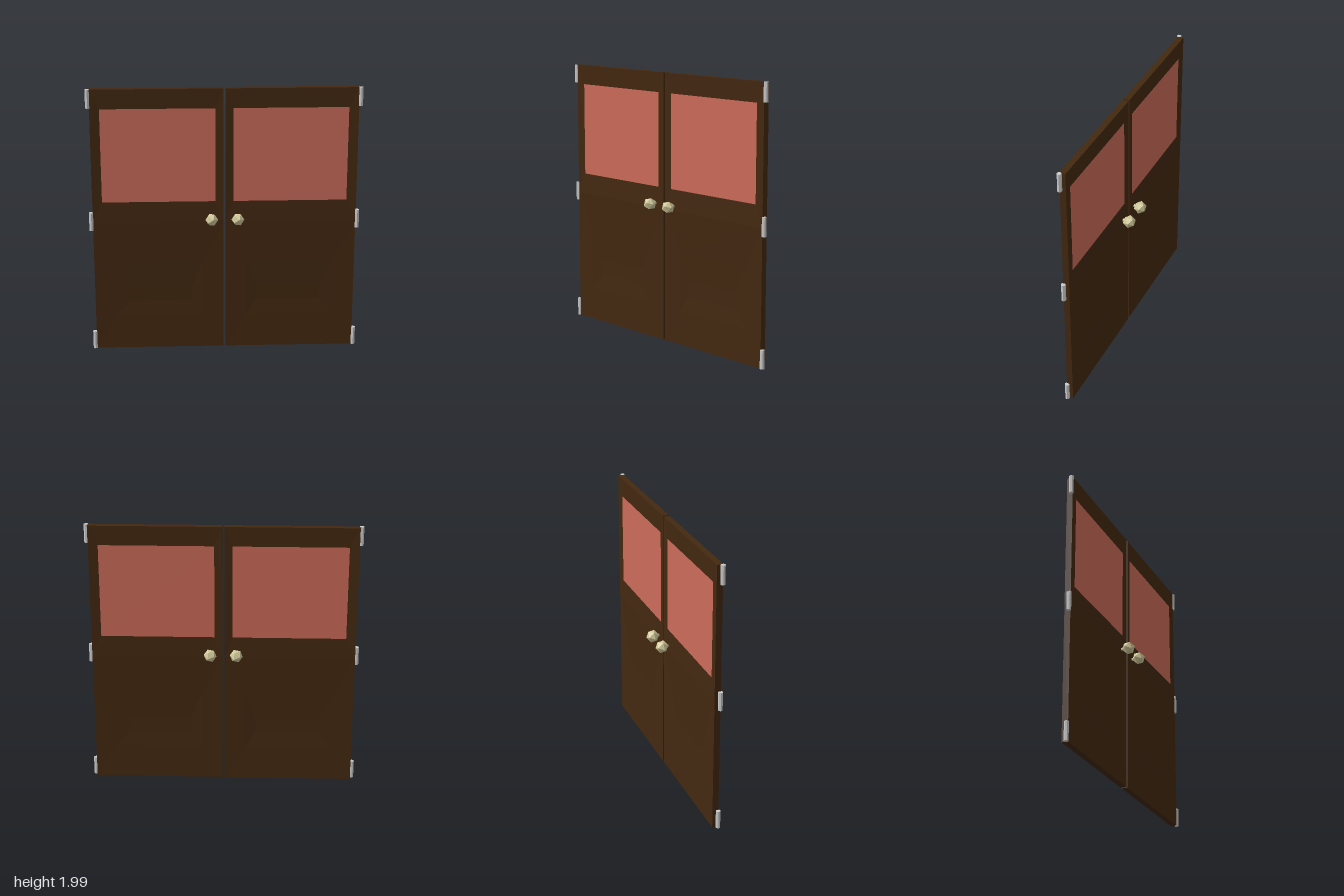
import * as THREE from 'three';

const mat = (color, extra = {}) => new THREE.MeshStandardMaterial({ color, flatShading: true, ...extra });
const wood = mat(0x432810);
const pane = mat(0xcc6b59);
const brass = mat(0xd3cb9c);
const metal = mat(0xcccccc);

const BACK = -0.025, FRONT = 0.02, MID = (BACK + FRONT) / 2;

function add(parent, name, geometry, material, x = 0, y = 0, z = 0) {
  const mesh = new THREE.Mesh(geometry, material);
  mesh.name = name;
  mesh.position.set(x, y, z);
  parent.add(mesh);
  return mesh;
}

// Rectangular loop, counter-clockwise seen from the front; s = -1 mirrors it
function rect(s, x0, x1, y0, y1, z) {
  const a = Math.min(s * x0, s * x1), b = Math.max(s * x0, s * x1);
  return [[a, y0, z], [b, y0, z], [b, y1, z], [a, y1, z]];
}

// Skin a list of rectangles running from the back to the front, optionally capped
function skin(loops, capped) {
  const pos = [];
  const quad = (a, b, c, d) => pos.push(...a, ...b, ...c, ...a, ...c, ...d);
  for (let i = 0; i < loops.length - 1; i++) {
    for (let k = 0; k < 4; k++) {
      const n = (k + 1) % 4;
      quad(loops[i][k], loops[i][n], loops[i + 1][n], loops[i + 1][k]);
    }
  }
  if (capped) {
    const f = loops[loops.length - 1], b = loops[0];
    quad(f[0], f[1], f[2], f[3]);
    quad(b[3], b[2], b[1], b[0]);
  }
  const g = new THREE.BufferGeometry();
  g.setAttribute('position', new THREE.Float32BufferAttribute(pos, 3));
  g.computeVertexNormals();
  return g;
}

function doorLeaf(s) {
  const leaf = new THREE.Group();
  leaf.name = s > 0 ? 'leftDoor' : 'rightDoor';

  // Upper frame, sloping in to the window opening
  const dip = 0.006;
  const opening = z => rect(s, 0.065, 0.89, 1.155, 1.85, z);
  const upper = z => rect(s, 0.008, 0.96, 1.0, 1.995, z);
  add(leaf, 'windowFrame', skin([
    opening(BACK + dip), upper(BACK), upper(FRONT), opening(FRONT - dip),
  ]), wood);

  // Window pane filling the opening
  add(leaf, 'windowPane', new THREE.BoxGeometry(0.825, 0.695, FRONT - BACK - 2 * dip),
    pane, s * 0.4775, 1.5025, MID);

  // Lower panel, stepped inwards on both faces
  const lower = z => rect(s, 0.008, 0.96, 0.005, 1.0, z);
  const border = z => rect(s, 0.16, 0.81, 0.26, 0.7, z);
  const centre = z => rect(s, 0.24, 0.7, 0.38, 0.5, z);
  add(leaf, 'lowerPanel', skin([
    centre(BACK + 0.012), border(BACK + 0.005), lower(BACK),
    lower(FRONT), border(FRONT - 0.005), centre(FRONT - 0.012),
  ], true), wood);

  // Faceted knobs on both faces, on short stems
  for (const side of [1, -1]) {
    const knob = add(leaf, side > 0 ? 'frontKnob' : 'backKnob',
      new THREE.IcosahedronGeometry(0.048, 0), brass, s * 0.095, 1.032, side * 0.073);
    knob.rotation.set(0.3, 0.35 * side, 0.15);
    const stem = add(leaf, side > 0 ? 'frontStem' : 'backStem',
      new THREE.CylinderGeometry(0.012, 0.012, 0.06, 6), brass, s * 0.095, 1.032, side * 0.042);
    stem.rotation.x = Math.PI / 2;
  }

  // Hinge barrels down the outer edge
  for (const y of [0.0725, 1.01, 1.9275]) {
    add(leaf, 'hinge', new THREE.CylinderGeometry(0.017, 0.017, 0.137, 7), metal, s * 0.971, y, 0.014);
  }
  return leaf;
}

export function createModel() {
  const model = new THREE.Group();
  model.name = 'doubleDoor';
  model.add(doorLeaf(1), doorLeaf(-1));
  return model;
}
